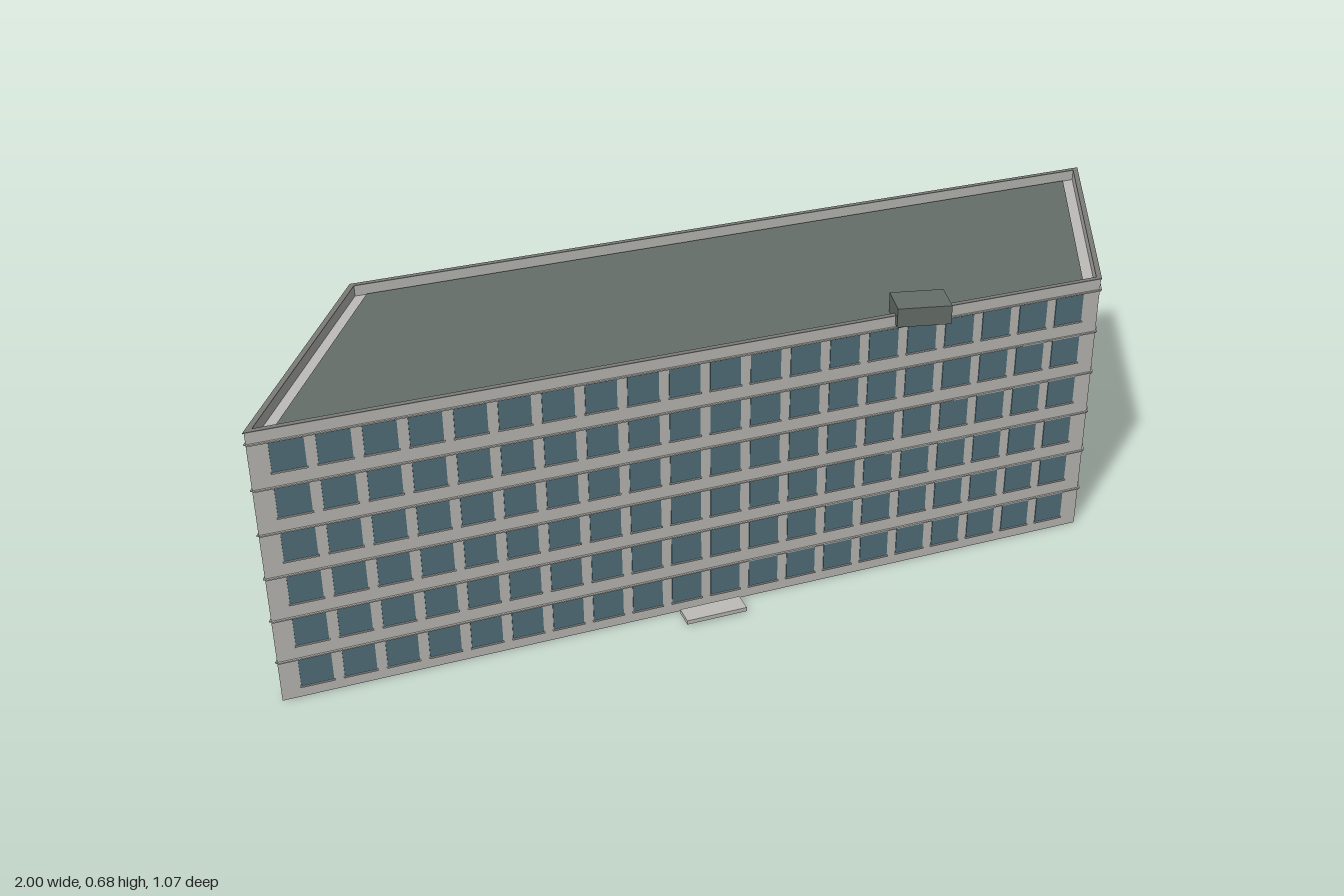
import * as THREE from 'three';
import { mergeGeometries } from 'three/addons/utils/BufferGeometryUtils.js';

const material = (name, color) => {
  const m = new THREE.MeshStandardMaterial({ color });
  m.name = name;
  return m;
};

// Footprint corners [x, z]: front left, front right, back right, back left
const CORNERS = [[-0.996, 0.528], [0.852, 0.101], [0.994, -0.529], [-0.812, -0.103]];
const HEIGHT = 0.652, ROOF = 0.63, FLOORS = 6, FLOOR_H = 0.105;

// Move each edge of the footprint inwards by its own distance
function inset(dists) {
  const lines = CORNERS.map(([x, z], i) => {
    const [x2, z2] = CORNERS[(i + 1) % 4];
    const len = Math.hypot(x2 - x, z2 - z), dx = (x2 - x) / len, dz = (z2 - z) / len;
    return { x: x + dz * dists[i], z: z - dx * dists[i], dx, dz };
  });
  return lines.map((b, i) => {
    const a = lines[(i + 3) % 4];
    const t = ((b.x - a.x) * b.dz - (b.z - a.z) * b.dx) / (a.dx * b.dz - a.dz * b.dx);
    return [a.x + a.dx * t, a.z + a.dz * t];
  });
}

const toPoints = (poly) => poly.map(([x, z]) => new THREE.Vector2(x, -z));

// Upright prism over a footprint, with an optional hole
function prism(outer, y0, y1, hole) {
  const shape = new THREE.Shape(toPoints(outer));
  if (hole) shape.holes.push(new THREE.Path(toPoints(hole)));
  const geo = new THREE.ExtrudeGeometry(shape, { depth: y1 - y0, bevelEnabled: false });
  return geo.rotateX(-Math.PI / 2).translate(0, y0, 0);
}

const box = (w, h, d, x, y, z) => new THREE.BoxGeometry(w, h, d).translate(x, y, z);

export function createModel() {
  const wall = material('concrete', 0xbebdb9);
  const glass = material('windowGlass', 0x53727e);
  const roofing = material('roofing', 0x656e69);
  const trim = material('copingGrey', 0x7c7d78);

  const model = new THREE.Group();
  model.name = 'officeBuilding';
  const add = (parent, name, geo, mat) => {
    const mesh = new THREE.Mesh(geo, mat);
    mesh.name = name;
    parent.add(mesh);
    return mesh;
  };

  // Main block, parapet and roof
  const inner = inset([0.01, 0.01, 0.01, 0.01]);
  add(model, 'mainBlock', prism(CORNERS, 0, ROOF - 0.004, null), wall);
  add(model, 'parapet', prism(CORNERS, ROOF - 0.004, HEIGHT - 0.002, inner), wall);
  add(model, 'parapetCoping', prism(inset([-0.002, -0.002, -0.002, -0.002]), HEIGHT - 0.002, HEIGHT, inner), trim);
  add(model, 'roofDeck', prism(inset([0.016, 0.035, 0.016, 0.035]), ROOF - 0.004, ROOF, null), roofing);

  // Facades: local x runs along the wall, local z points outwards
  const styles = [
    { name: 'frontFacade', count: 20 }, { name: 'rightFacade', count: 6 },
    { name: 'backFacade', count: 20 }, { name: 'leftFacade', count: 6 },
  ];
  styles.forEach(({ name, count }, i) => {
    const [x, z] = CORNERS[i], [x2, z2] = CORNERS[(i + 1) % 4];
    const len = Math.hypot(x2 - x, z2 - z);
    const facade = new THREE.Group();
    facade.name = name;
    facade.position.set(x, 0, z);
    facade.rotation.y = Math.atan2(z - z2, x2 - x);
    model.add(facade);

    const margin = 0.042, width = 0.069;
    const pitch = (len - 2 * margin - width) / (count - 1);
    const panes = [], sills = [], ledges = [];
    for (let f = 0; f < FLOORS; f++) {
      const y = 0.028 + f * FLOOR_H;
      for (let c = 0; c < count; c++) {
        const cx = margin + width / 2 + c * pitch;
        panes.push(box(width, 0.067, 0.004, cx, y + 0.0335, 0));
        sills.push(box(width + 0.004, 0.003, 0.009, cx, y - 0.0015, 0));
      }
      ledges.push(box(len, 0.003, 0.009, len / 2, y + 0.07, 0));
    }
    add(facade, 'windows', mergeGeometries(panes), glass);
    add(facade, 'windowSills', mergeGeometries(sills), wall);
    add(facade, 'floorLedges', mergeGeometries(ledges), wall);

    // Entrance slab in front of the main facade
    if (i === 0) add(facade, 'entranceSlab', box(0.142, 0.01, 0.046, 0.953, 0.009, 0.036), wall);
  });

  // Rooftop plant box straddling the front parapet
  add(model, 'rooftopUnit', box(0.12, 0.044, 0.082, 0.416, 0.653, 0.192), roofing);

  return model;
}
